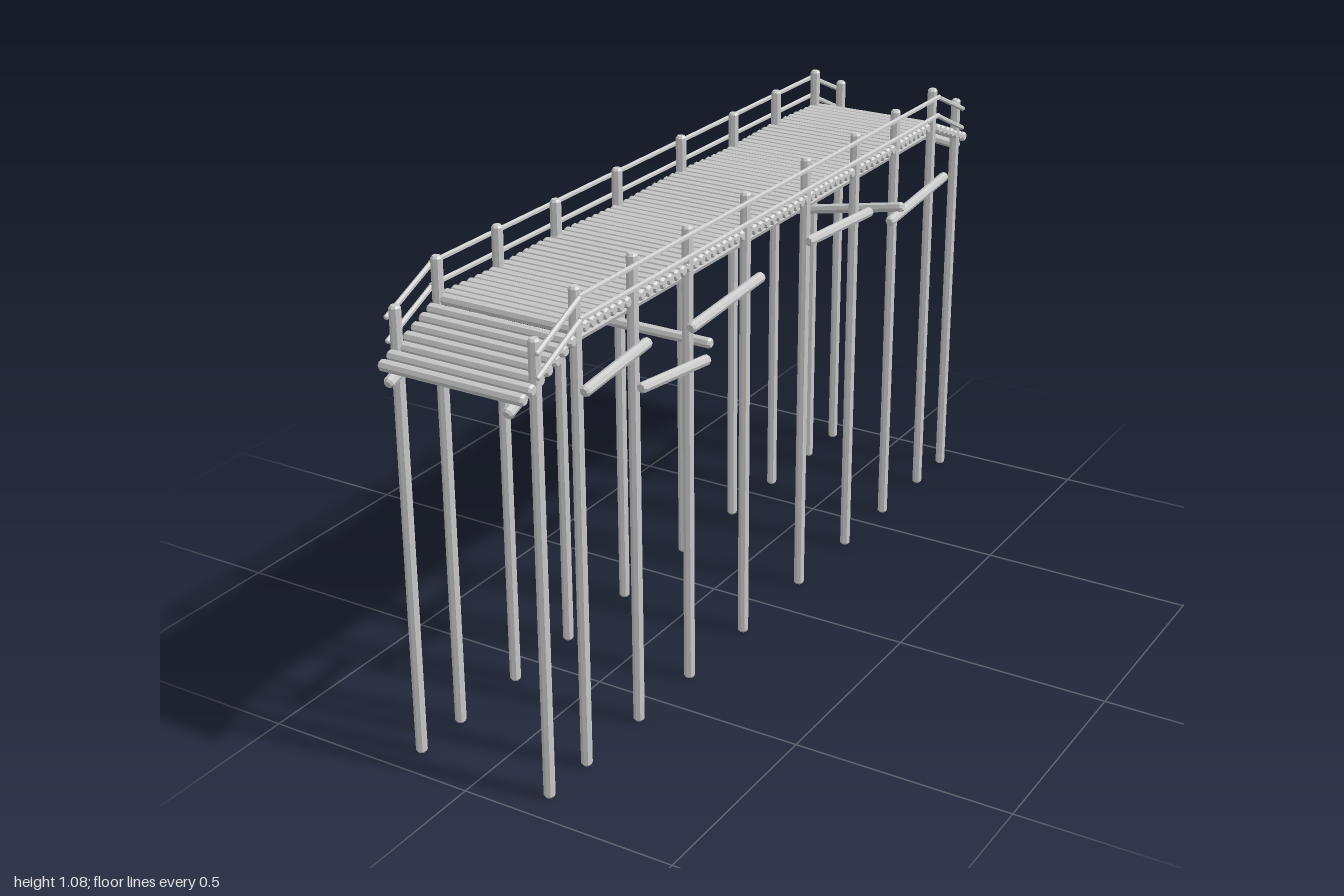
import * as THREE from 'three';

const material = new THREE.MeshStandardMaterial({ color: 0xcccccc, flatShading: true });
const V = (x, y, z) => new THREE.Vector3(x, y, z);
const CX = -0.004; // sideways offset of the deck axis

// Round log with chamfered ends running from a to b
function log(parent, name, a, b, r, sides = 8) {
  const dir = b.clone().sub(a), len = dir.length(), c = r * 0.4;
  const profile = [[0, 0], [r * 0.7, 0], [r, c], [r, len - c], [r * 0.7, len], [0, len]]
    .map(([x, y]) => new THREE.Vector2(x, y));
  const mesh = new THREE.Mesh(new THREE.LatheGeometry(profile, sides), material);
  mesh.name = name;
  mesh.position.copy(a);
  mesh.quaternion.setFromUnitVectors(V(0, 1, 0), dir.normalize());
  parent.add(mesh);
}

function section(root, name) {
  const g = new THREE.Group();
  g.name = name;
  root.add(g);
  return g;
}

export function createModel() {
  const root = new THREE.Group();
  root.name = 'footbridge';

  // Tall posts in pairs
  const posts = section(root, 'posts');
  const postZ = [0.927, 0.79, 0.587, 0.377, 0.138, -0.132, -0.372, -0.58, -0.783, -0.925];
  postZ.forEach((z, i) => {
    const end = i === 0 || i === postZ.length - 1;
    const top = end ? 1.014 : 1.07 + (i % 3) * 0.003;
    for (const s of [-1, 1]) log(posts, 'post', V(CX + s * 0.164, 0, z), V(CX + s * 0.164, top, z), 0.0125);
  });

  // Level deck planks, lengths slightly uneven
  const planks = section(root, 'deckPlanks');
  const wobble = (i) => Math.sin(i * 12.9) * 0.003;
  const n = 62;
  for (let i = 0; i <= n; i++) {
    const z = 0.785 - (i / n) * 1.57, y = 0.979 + wobble(i + 5) * 0.6;
    log(planks, 'plank', V(CX - 0.172 + wobble(i), y, z), V(CX + 0.172 + wobble(i + 9), y, z), 0.0128);
  }
  // Sloping planks at both ends
  for (const e of [-1, 1]) for (let i = 1; i <= 7; i++) {
    const t = i / 7, z = e * (0.785 + 0.187 * t), y = 0.977 - 0.073 * t;
    log(planks, 'rampPlank', V(CX - 0.173 + wobble(i), y, z), V(CX + 0.173 + wobble(i + 3), y, z), 0.0128);
  }

  // Bearers under the planks and rails outside the posts
  const bearers = section(root, 'bearers'), rails = section(root, 'rails');
  for (const s of [-1, 1]) {
    const x = CX + s * 0.141, rx = CX + s * 0.178;
    log(bearers, 'bearer', V(x, 0.953, 0.8), V(x, 0.953, -0.8), 0.0125);
    for (const e of [-1, 1]) log(bearers, 'rampBearer', V(x, 0.955, e * 0.785), V(x, 0.874, e * 0.99), 0.0125);
    for (const [y, yEnd] of [[1.055, 0.987], [1.008, 0.937]]) {
      log(rails, 'rail', V(rx, y, 0.795), V(rx, y, -0.795), 0.006, 6);
      for (const e of [-1, 1]) log(rails, 'rampRail', V(rx, y, e * 0.787), V(rx, yEnd, e * 0.94), 0.006, 6);
    }
  }

  // Side braces: x, start z, start y, end z, end y
  const braces = section(root, 'braces');
  const L = 0.186, R = -0.195;
  for (const [x, z0, y0, z1, y1] of [
    [L, 0.805, 0.862, 0.57, 0.886],
    [L, 0.602, 0.795, 0.34, 0.764],
    [L, 0.41, 0.858, 0.11, 0.877],
    [L, -0.1, 0.892, -0.405, 0.873],
    [L, -0.51, 0.815, -0.82, 0.845],
    [R, 0.805, 0.872, 0.57, 0.89],
    [R, 0.395, 0.897, 0.11, 0.863],
    [R, 0.15, 0.82, -0.145, 0.808],
    [R, -0.1, 0.859, -0.4, 0.887],
    [R, -0.36, 0.823, -0.825, 0.862],
  ]) log(braces, 'sideBrace', V(x, y0, z0), V(x, y1, z1), 0.0122);

  // Cross braces between the two sides
  log(braces, 'crossBrace', V(-0.205, 0.809, 0.355), V(0.205, 0.809, 0.355), 0.0122);
  log(braces, 'crossBrace', V(-0.192, 0.766, -0.553), V(0.202, 0.844, -0.553), 0.0122);

  return root;
}
